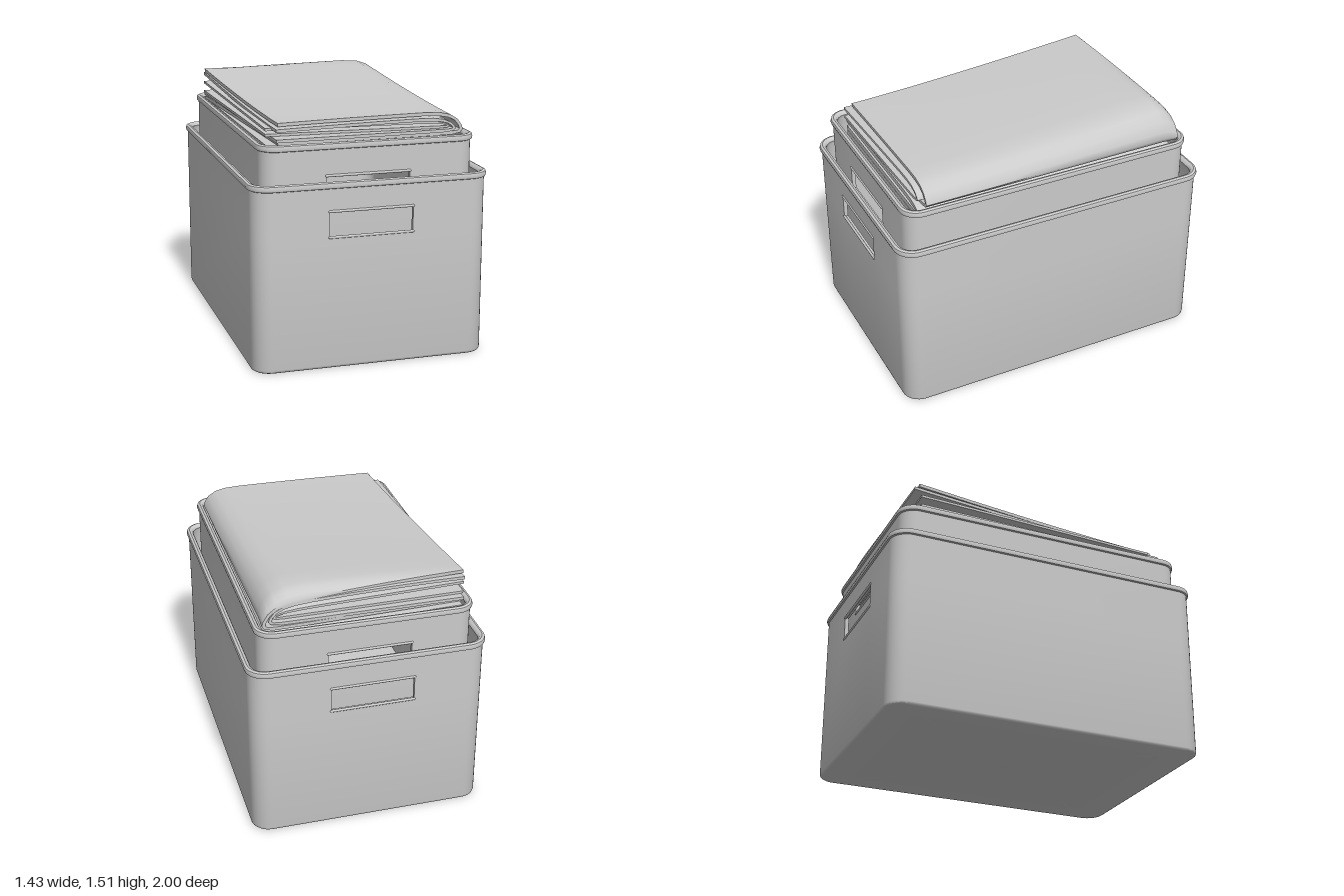
import * as THREE from 'three';
import { toCreasedNormals } from 'three/addons/utils/BufferGeometryUtils.js';

const HOLE_LEFT = -0.26, HOLE_RIGHT = 0.235;
const lerp = THREE.MathUtils.lerp;

// Collects quads into a creased, smooth mesh
function surface() {
  const pos = [];
  const tri = (a, b, c) => {
    const area = b.clone().sub(a).cross(c.clone().sub(a)).length();
    if (area > 1e-9) for (const p of [a, b, c]) pos.push(p.x, p.y, p.z);
  };
  return {
    quad(a, b, c, d) { tri(a, b, c); tri(a, c, d); },
    mesh(name, crease) {
      const g = new THREE.BufferGeometry();
      g.setAttribute('position', new THREE.Float32BufferAttribute(pos, 3));
      const m = new THREE.Mesh(toCreasedNormals(g, crease),
        new THREE.MeshStandardMaterial({ color: 0xcccccc, side: THREE.DoubleSide }));
      m.name = name;
      return m;
    },
  };
}

// Rounded rectangle, counter-clockwise from above, with stops at the handle edges
function ring(hx, hz, r, y) {
  const pts = [];
  const add = (x, z) => pts.push(new THREE.Vector3(x, y, z));
  const corner = (sx, sz, start) => {
    for (let i = 0; i <= 8; i++) {
      const a = start + (i / 8) * Math.PI / 2;
      add(sx * (hx - r) + r * Math.cos(a), sz * (hz - r) - r * Math.sin(a));
    }
  };
  add(HOLE_LEFT, hz); add(HOLE_RIGHT, hz);
  corner(1, 1, -Math.PI / 2);
  corner(1, -1, 0);
  add(HOLE_RIGHT, -hz); add(HOLE_LEFT, -hz);
  corner(-1, -1, Math.PI / 2);
  corner(-1, 1, Math.PI);
  return pts;
}

// Open box: rounded walls, rolled rim, cut-out handles front and back
function box(name, hx, hz, radius, y0, height, holeLow, holeHigh) {
  const t = 0.024, top = height - 0.04;
  const profile = [
    [null, 0], [-0.012, 0], [-0.003, 0.006], [0, 0.018],
    [0, holeLow], [0, holeHigh], [0, top],
    [0.009, top + 0.004], [0.013, top + 0.018], [0.008, top + 0.034], [-0.006, top + 0.04],
    [-t + 0.002, top + 0.034], [-t - 0.006, top + 0.018], [-t, top],
    [-t, holeHigh], [-t, holeLow], [-t, 0.03], [null, 0.03],
  ];
  const rings = profile.map(([o, y]) => o === null
    ? ring(1, 1, 0.1, y0 + y).map(() => new THREE.Vector3(0, y0 + y, 0))
    : ring(hx + o, hz + o, radius + o, y0 + y));
  const n = rings[0].length, s = surface();
  const holes = [0, 20];
  for (let k = 0; k < rings.length - 1; k++) {
    for (let i = 0; i < n; i++) {
      if (holes.includes(i) && (k === 4 || k === 14)) continue;
      const j = (i + 1) % n;
      s.quad(rings[k][i], rings[k][j], rings[k + 1][j], rings[k + 1][i]);
    }
  }
  // Lining of the handle openings
  for (const i of holes) {
    const loop = (low, high) => [rings[low][i], rings[low][i + 1], rings[high][i + 1], rings[high][i]];
    const out = loop(4, 5), inn = loop(15, 14);
    for (let j = 0; j < 4; j++) {
      const q = (j + 1) % 4;
      s.quad(out[j], out[q], inn[q], inn[j]);
    }
  }
  const group = new THREE.Group();
  group.name = name;
  group.add(s.mesh(name + 'Shell', 0.75));
  // Rounded lips above and below each opening
  for (const side of [1, -1]) {
    for (const y of [holeLow, holeHigh]) {
      const lip = new THREE.Mesh(new THREE.CapsuleGeometry(0.008, HOLE_RIGHT - HOLE_LEFT, 4, 10),
        new THREE.MeshStandardMaterial({ color: 0xcccccc }));
      lip.name = 'handleLip';
      lip.rotation.z = Math.PI / 2;
      lip.position.set((HOLE_LEFT + HOLE_RIGHT) / 2, y0 + y, side * (hz - 0.001));
      group.add(lip);
    }
  }
  return group;
}

// C-shaped fold section: across, height, and inward direction of the thickness
const FOLD = [
  [0, 1, 0, -1], [0.2, 1, 0, -1], [0.4, 1, 0, -1], [0.6, 1, 0, -1], [0.78, 1, 0, -1],
  [0.87, 0.97, -0.2, -1], [0.93, 0.86, -0.6, -0.8], [0.97, 0.66, -0.9, -0.4],
  [0.993, 0.4, -1, 0], [1, 0.22, -1, 0.2], [0.985, 0.08, -0.7, 0.7], [0.94, 0.01, -0.2, 1],
  [0.8, 0, 0, 1], [0.6, 0, 0, 1], [0.4, 0, 0, 1], [0.2, 0, 0, 1], [0, 0, 0, 1],
];

// Folded cloth: corners are [x, z] for back left, back right, front left, front right
function foldedCloth(name, [bl, br, fl, fr], base, topAt, t) {
  const stops = [0, 0.012, 0.03, 0.06, 0.15, 0.3, 0.45, 0.6, 0.75, 0.9, 0.97, 1];
  const s = surface();
  const sections = stops.map((v) => {
    // The cloth rolls down at the back end
    const roll = 1 - 0.32 * Math.pow(Math.max(0, 1 - v / 0.06), 2);
    const outer = [], inner = [];
    for (const [u, h, dx, dy] of FOLD) {
      const x = lerp(lerp(bl[0], br[0], u), lerp(fl[0], fr[0], u), v);
      const z = lerp(lerp(bl[1], br[1], u), lerp(fl[1], fr[1], u), v);
      const y = lerp(base, topAt(u, v), h * lerp(1, roll, u));
      outer.push(new THREE.Vector3(x, y, z));
      inner.push(new THREE.Vector3(x + dx * t, y + dy * t, z));
    }
    return { outer, inner, loop: [...outer, ...inner.slice().reverse()] };
  });
  for (let k = 0; k < sections.length - 1; k++) {
    const a = sections[k].loop, b = sections[k + 1].loop;
    for (let i = 0; i < a.length; i++) {
      const j = (i + 1) % a.length;
      s.quad(a[i], b[i], b[j], a[j]);
    }
  }
  // Cut ends of the cloth
  const back = sections[0], front = sections[sections.length - 1];
  for (let i = 0; i < FOLD.length - 1; i++) {
    s.quad(front.outer[i], front.inner[i], front.inner[i + 1], front.outer[i + 1]);
    s.quad(back.outer[i + 1], back.inner[i + 1], back.inner[i], back.outer[i]);
  }
  return s.mesh(name, 0.9);
}

export function createModel() {
  const model = new THREE.Group();
  model.name = 'storageBoxes';
  model.add(box('outerBox', 0.7, 0.985, 0.11, 0, 1.1, 0.78, 0.93));
  model.add(box('innerBox', 0.632, 0.918, 0.1, 0.2, 1.11, 0.77, 0.92));

  // Cloth heights: raised at the back, slightly lower on the open side
  const top = (drop) => (u, v) =>
    1.425 + 0.095 * Math.pow(1 - v, 1.4) - 0.035 * (1 - v * 0.6) * Math.pow(1 - u, 2) - drop;
  const cloth = new THREE.Group();
  cloth.name = 'foldedCloths';
  cloth.add(foldedCloth('topCloth',
    [[-0.59, -0.81], [0.6, -0.86], [-0.51, 0.8], [0.605, 0.79]], 1.285, top(0), 0.02));
  cloth.add(foldedCloth('middleCloth',
    [[-0.59, -0.84], [0.56, -0.85], [-0.53, 0.845], [0.55, 0.82]], 1.308, top(0.027), 0.018));
  cloth.add(foldedCloth('innerCloth',
    [[-0.6, -0.8], [0.53, -0.82], [-0.57, 0.75], [0.52, 0.8]], 1.328, (u, v) => 1.375 + 0.03 * (1 - v), 0.015));
  // Lower cloths inside the inner box
  for (let i = 0; i < 2; i++) {
    const y = 1.2 - i * 0.085;
    cloth.add(foldedCloth('lowerCloth',
      [[-0.58, -0.85], [0.57, -0.85], [-0.57, 0.82], [0.57, 0.82]], y, () => y + 0.082, 0.03));
  }
  model.add(cloth);
  return model;
}
